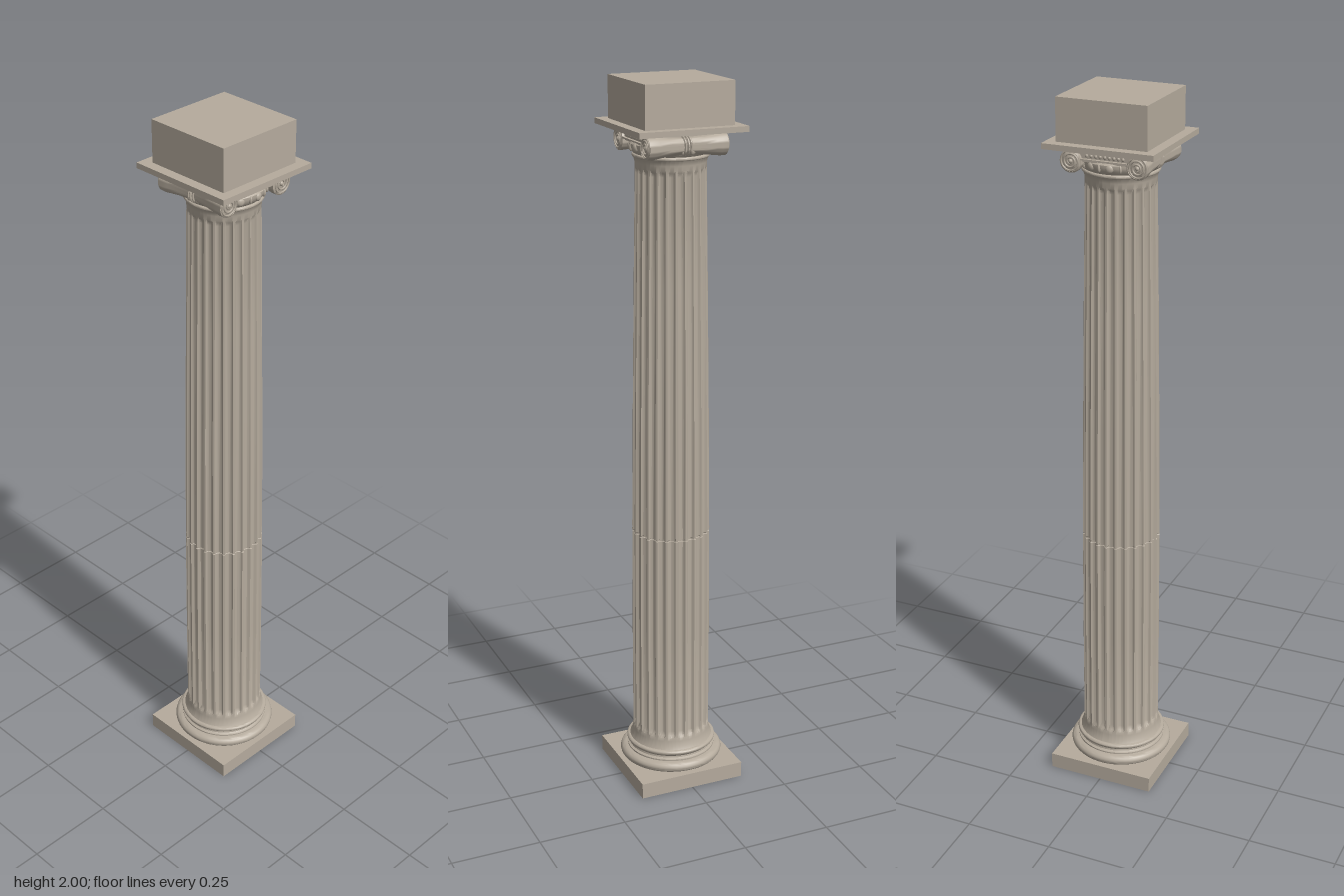
import * as THREE from 'three';
import { toCreasedNormals } from 'three/addons/utils/BufferGeometryUtils.js';

const stone = new THREE.MeshStandardMaterial({ color: 0xb5ab9d });
stone.name = 'stone';

const FLUTES = 24, STEPS = 10;

function add(parent, name, geometry, x = 0, y = 0, z = 0) {
  const mesh = new THREE.Mesh(geometry, stone);
  mesh.name = name;
  mesh.position.set(x, y, z);
  parent.add(mesh);
  return mesh;
}

// Square slab from y0 to y1
function slab(parent, name, half, y0, y1) {
  return add(parent, name, new THREE.BoxGeometry(half * 2, y1 - y0, half * 2), 0, (y0 + y1) / 2, 0);
}

const lathe = (pts, seg = 64) =>
  toCreasedNormals(new THREE.LatheGeometry(pts.map(p => new THREE.Vector2(...p)), seg), 0.7);

// Half-round bulge of a moulding, bottom to top
function bulge(r, y0, y1, out, n = 8) {
  return Array.from({ length: n + 1 }, (_, i) => {
    const a = (i / n) * Math.PI;
    return [r + out * Math.sin(a), y0 + (y1 - y0) * (1 - Math.cos(a)) / 2];
  });
}

// Fluted, tapering shaft: rings are [height, radius, flute depth]
function shaftGeometry() {
  const rings = [
    [0.105, 0.119, 0], [0.115, 0.114, 0], [0.13, 0.111, 0], [0.14, 0.11, 0],
    [0.147, 0.11, 0.006], [0.158, 0.11, 0.0095], [0.45, 0.11, 0.0095],
    [0.747, 0.109, 0.0095], [0.748, 0.107, 0.0095], [0.752, 0.107, 0.0095], [0.753, 0.109, 0.0095],
    [1.1, 0.105, 0.009], [1.45, 0.1, 0.0085], [1.755, 0.095, 0.008],
    [1.765, 0.0948, 0.005], [1.772, 0.0947, 0], [1.785, 0.095, 0], [1.795, 0.098, 0], [1.8, 0.101, 0],
  ];
  const n = FLUTES * STEPS, pos = [], index = [];
  rings.forEach(([y, r, depth], j) => {
    for (let i = 0; i <= n; i++) {
      const a = (i / n) * Math.PI * 2;
      // flat fillet on each side, round hollow between
      const t = ((i % STEPS) / STEPS - 0.5) / 0.4;
      const q = r - depth * Math.sqrt(Math.max(0, 1 - t * t));
      pos.push(q * Math.sin(a), y, q * Math.cos(a));
      if (j && i < n) {
        const u = j * (n + 1) + i, l = u - n - 1;
        index.push(l, l + 1, u + 1, l, u + 1, u);
      }
    }
  });
  const g = new THREE.BufferGeometry();
  g.setAttribute('position', new THREE.Float32BufferAttribute(pos, 3));
  g.setIndex(index);
  return toCreasedNormals(g, 0.6);
}

// Spiral ridge of a volute, in the zy plane
function spiralGeometry() {
  const pts = [];
  for (let i = 0; i <= 48; i++) {
    const t = i / 48, a = Math.PI / 2 - t * Math.PI * 5, r = 0.028 - 0.022 * t;
    pts.push(new THREE.Vector3(0, r * Math.sin(a), r * Math.cos(a)));
  }
  return new THREE.TubeGeometry(new THREE.CatmullRomCurve3(pts), 96, 0.0026, 6);
}

export function createModel() {
  const column = new THREE.Group();
  column.name = 'column';

  // Base
  const base = new THREE.Group();
  base.name = 'base';
  column.add(base);
  slab(base, 'plinth', 0.156, 0, 0.045);
  add(base, 'baseMouldings', lathe([
    [0, 0.045], ...bulge(0.13, 0.045, 0.075, 0.017),
    [0.126, 0.075], [0.126, 0.079], [0.12, 0.083], [0.119, 0.088], [0.122, 0.092],
    ...bulge(0.121, 0.092, 0.106, 0.007), [0.117, 0.106],
  ]));

  // Shaft
  add(column, 'flutedShaft', shaftGeometry());

  // Capital
  const capital = new THREE.Group();
  capital.name = 'capital';
  column.add(capital);
  add(capital, 'necking', lathe(bulge(0.098, 1.798, 1.808, 0.005)));
  add(capital, 'echinus', lathe([
    [0.096, 1.806], [0.1, 1.81], [0.106, 1.818], [0.109, 1.827], [0.109, 1.834], [0.105, 1.838], [0, 1.838],
  ]));
  const cushion = new THREE.BoxGeometry(0.206, 0.034, 0.18);
  add(capital, 'cushion', cushion, 0, 1.853, 0);

  // Eggs and darts round the echinus
  const egg = new THREE.SphereGeometry(1, 10, 8);
  for (let i = 0; i < 24; i++) {
    const a = ((i + 0.5) / 24) * Math.PI * 2, big = i % 2 === 0;
    const m = add(capital, big ? 'egg' : 'dart', egg, 0.107 * Math.sin(a), 1.825, 0.107 * Math.cos(a));
    m.scale.set(big ? 0.011 : 0.004, 0.011, 0.006);
    m.rotation.y = a;
  }

  // Scrolled rolls along x, pinched in the middle and belted
  const half = [[0.0225, 0], [0.023, 0.02], [0.0245, 0.05], [0.028, 0.08], [0.03, 0.094], [0.03, 0.11], [0.026, 0.113], [0.025, 0.11], [0, 0.11]];
  const roll = lathe([...half.slice(1).reverse().map(([r, h]) => [r, -h]), ...half], 32);
  const belt = lathe([...bulge(0.021, -0.012, -0.004, 0.005, 5), ...bulge(0.021, -0.004, 0.004, 0.007, 5), ...bulge(0.021, 0.004, 0.012, 0.005, 5)], 32);
  const spiral = spiralGeometry();
  for (const s of [1, -1]) {
    const scroll = new THREE.Group();
    scroll.name = s > 0 ? 'frontScroll' : 'backScroll';
    scroll.position.set(0, 1.836, s * 0.092);
    capital.add(scroll);
    add(scroll, 'roll', roll).rotation.z = -Math.PI / 2;
    add(scroll, 'belt', belt).rotation.z = -Math.PI / 2;
    for (const e of [1, -1]) {
      const ridge = add(scroll, 'spiral', spiral, e * 0.111, 0, 0);
      if (s < 0) ridge.rotation.y = Math.PI;
      add(scroll, 'eye', egg, e * 0.11, 0, 0).scale.set(0.005, 0.006, 0.006);
    }
  }

  // Raised bands and bead row joining the scrolls on each side
  for (const e of [1, -1]) {
    add(capital, 'upperBand', new THREE.BoxGeometry(0.012, 0.005, 0.184), e * 0.107, 1.8635, 0);
    add(capital, 'lowerBand', new THREE.BoxGeometry(0.01, 0.004, 0.13), e * 0.106, 1.843, 0);
    for (let i = -4; i <= 4; i++) {
      add(capital, 'bead', egg, e * 0.103, 1.853, i * 0.0125).scale.set(0.004, 0.0055, 0.0045);
    }
  }

  // Abacus and the block above
  slab(capital, 'abacusFillet', 0.105, 1.864, 1.873);
  slab(capital, 'abacus', 0.153, 1.871, 1.886);
  slab(column, 'topBlock', 0.125, 1.886, 2);
  return column;
}
